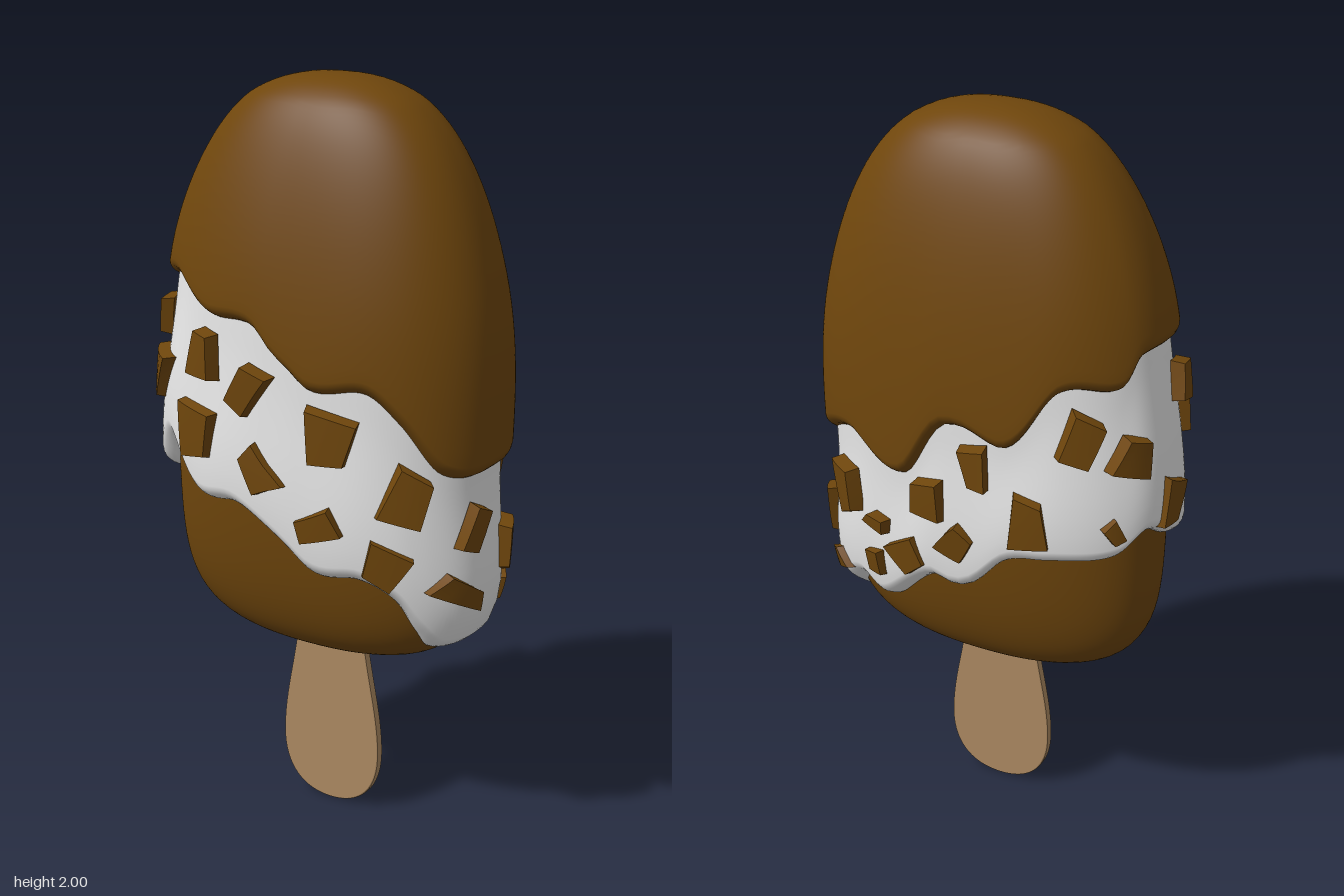
import * as THREE from 'three';

const COLS = 160;
const RAD = Math.PI / 180;

// Periodic smooth curve through [angle in degrees, height] keys
function wave(keys) {
  const n = keys.length;
  const key = (i) => {
    const turn = Math.floor(i / n);
    const k = keys[i - turn * n];
    return [k[0] + turn * 360, k[1]];
  };
  const slope = (i) => (key(i + 1)[1] - key(i - 1)[1]) / (key(i + 1)[0] - key(i - 1)[0]);
  return (theta) => {
    const d = (((theta / RAD) % 360) + 360) % 360;
    let i = n - 1;
    while (i > 0 && keys[i][0] > d) i--;
    const [x0, y0] = key(i), [x1, y1] = key(i + 1);
    const w = x1 - x0, t = (d - x0) / w, s = 1 - t;
    return y0 * (1 + 2 * t) * s * s + y1 * t * t * (3 - 2 * t)
      + w * (slope(i) * t * s * s - slope(i + 1) * t * t * s);
  };
}

// Lower edges of the top coating and of the white band (0 = left side, 90 = front)
const topEdge = wave([[0, 1.05], [32, 1.06], [51, 1.19], [64, 1.26], [82, 1.25], [90, 1.31], [98, 1.39],
  [116, 1.4], [138, 1.475], [165, 1.45], [200, 1.45], [212, 1.38], [238, 1.37], [256, 1.21],
  [272, 1.24], [286, 1.07], [309, 1.14], [345, 1.06]]);
const bandEdge = wave([[0, 0.57], [28, 0.565], [42, 0.63], [52, 0.71], [66, 0.76], [82, 0.76], [93, 0.86],
  [103, 0.91], [119, 0.91], [138, 1.04], [157, 0.93], [175, 0.92], [200, 0.98], [217, 0.92], [245, 0.9],
  [258, 0.88], [270, 0.77], [278, 0.78], [298, 0.655], [309, 0.69], [327, 0.63], [345, 0.575]]);

// Point on the bar at an angle and height, pushed outwards by off
function barPoint(theta, y, off) {
  let a, b;
  if (y > 1.1) {
    const u = Math.min(1, (y - 1.1) / 0.9);
    a = 0.45 * (1 - u ** 2.4) ** 0.42;
    b = 0.238 * (1 - u ** 2.6) ** 0.4;
  } else {
    const u = Math.min(1, (1.1 - y) / 0.62);
    a = 0.45 * (1 - u ** 6) ** 0.33;
    b = 0.238 * (1 - u ** 1.9) ** 0.27;
  }
  const o = off * Math.min(1, a * 5);
  const c = Math.cos(theta), s = Math.sin(theta);
  const shift = 0.015 * THREE.MathUtils.smoothstep(y, 1, 1.5);
  return new THREE.Vector3(
    shift + (a + o) * Math.sign(c) * Math.abs(c) ** 0.85, y,
    (b + o) * Math.sign(s) * Math.abs(s) ** 0.85);
}

// Closed rings stacked upwards; each row maps an angle to [height, offset]
function ringSurface(rows) {
  const pos = [], idx = [];
  rows.forEach((row, i) => {
    for (let j = 0; j < COLS; j++) {
      const th = (j / COLS) * Math.PI * 2;
      const [y, off] = row(th);
      pos.push(...barPoint(th, y, off).toArray());
      if (i === rows.length - 1) continue;
      const a = i * COLS + j, b = i * COLS + ((j + 1) % COLS);
      idx.push(b, a, a + COLS, b, a + COLS, b + COLS);
    }
  });
  const g = new THREE.BufferGeometry();
  g.setAttribute('position', new THREE.Float32BufferAttribute(pos, 3));
  g.setIndex(idx);
  g.computeVertexNormals();
  return g;
}

// Coating with a rounded lip along its lower edge
function coating(lo, hi, offLow, offHigh, lip, steps) {
  const rows = [];
  for (let i = 0; i <= 6; i++) {
    const t = (i / 6) * Math.PI / 2;
    rows.push((th) => [lo(th) + lip * (1 - Math.cos(t)), -0.01 + (offLow + 0.01) * Math.sin(t)]);
  }
  for (let i = 1; i <= steps; i++) {
    const v = Math.sin((i / steps) * Math.PI / 2);
    rows.push((th) => {
      const start = lo(th) + lip;
      const fade = THREE.MathUtils.smoothstep(v, 0, 0.8);
      return [start + (hi(th) - start) * v, offLow + (offHigh - offLow) * fade];
    });
  }
  return ringSurface(rows);
}

// Irregular tapered chip, bent to follow the band
function chipGeometry(deg, y, w, h, tilt, seed) {
  const th = deg * RAD, off = 0.04;
  const speed = barPoint(th - 0.08, y, off).distanceTo(barPoint(th + 0.08, y, off)) / 0.16;
  const g = new THREE.BoxGeometry(w, h, 0.036, 4, 4, 1);
  const p = g.attributes.position;
  for (let i = 0; i < p.count; i++) {
    const nx = p.getX(i) / w, ny = p.getY(i) / h, z = p.getZ(i);
    const k = z > 0 ? 0.94 : 1.04;
    const u = w * k * nx * (1 + 0.45 * Math.sin(seed * 2.3) * ny);
    const v = h * k * ny * (1 + 0.3 * Math.sin(seed * 1.7) * nx);
    const right = u * Math.cos(tilt) - v * Math.sin(tilt);
    const up = u * Math.sin(tilt) + v * Math.cos(tilt);
    const q = barPoint(th - right / speed, y + up, off + z + 0.01 * Math.sin(seed) * nx);
    p.setXYZ(i, q.x, q.y, q.z);
  }
  g.computeVertexNormals();
  return g;
}

// angle, height, width, length, tilt
const chips = [
  [151, 1.21, 0.11, 0.11, -0.2], [116, 1.3, 0.08, 0.12, -0.05], [118, 1.09, 0.11, 0.14, 0],
  [98, 1.235, 0.07, 0.12, -0.5], [94, 1.03, 0.07, 0.12, 0.6], [75, 1.14, 0.12, 0.13, -0.1],
  [48, 1.005, 0.1, 0.14, -0.35], [79, 0.905, 0.12, 0.07, 0.4], [57, 0.82, 0.1, 0.11, -0.45],
  [23, 0.745, 0.14, 0.06, -0.5], [16, 0.915, 0.06, 0.12, -0.4], [-14, 0.82, 0.06, 0.13, -0.1],
  [-31, 0.7, 0.1, 0.06, 0.45], [-47, 0.965, 0.08, 0.14, 0.2], [-62, 0.78, 0.05, 0.07, 0.1],
  [-64, 0.91, 0.06, 0.035, -0.3], [-76, 0.84, 0.08, 0.09, 0.6], [-90, 0.92, 0.07, 0.09, -0.6],
  [-83, 1.03, 0.08, 0.1, 0], [-95, 1.15, 0.065, 0.11, 0.1], [-110, 1.02, 0.09, 0.14, 0],
  [-129, 1.26, 0.08, 0.13, -0.4], [-141, 1.01, 0.04, 0.06, 0.5], [-151, 1.21, 0.09, 0.1, -0.3],
  [186, 1.05, 0.08, 0.12, -0.3], [170, 1.34, 0.06, 0.1, -0.2],
];

export function createModel() {
  const chocolate = new THREE.MeshStandardMaterial({ color: 0x6f460c });
  const cream = new THREE.MeshStandardMaterial({ color: 0xf2f2f2 });
  const wood = new THREE.MeshStandardMaterial({ color: 0xad8a62 });
  const model = new THREE.Group();
  const add = (name, geometry, material, parent = model) => {
    const mesh = new THREE.Mesh(geometry, material);
    mesh.name = name;
    parent.add(mesh);
    return mesh;
  };

  // Lower chocolate body
  const body = [];
  for (let i = 0; i <= 28; i++) {
    const y = 0.48 + 0.66 * (i / 28) ** 2.2;
    body.push(() => [y, 0]);
  }
  add('lowerBody', ringSurface(body), chocolate);

  // White band and the top coating flowing over it
  add('creamBand', coating(bandEdge, (th) => topEdge(th) + 0.06, 0.043, 0.018, 0.045, 16), cream);
  add('topCoating', coating(topEdge, () => 2, 0.046, 0.03, 0.04, 36), chocolate);

  // Chips pressed into the band
  const chipGroup = new THREE.Group();
  chipGroup.name = 'chips';
  model.add(chipGroup);
  chips.forEach((c, i) => add('chip', chipGeometry(...c, i + 1), chocolate, chipGroup));

  // Flat wooden stick, wider at the rounded end
  const s = new THREE.Shape();
  s.moveTo(0.09, 0.6);
  s.bezierCurveTo(0.1, 0.42, 0.147, 0.3, 0.147, 0.17);
  s.bezierCurveTo(0.147, 0.06, 0.09, 0.004, 0, 0.004);
  s.bezierCurveTo(-0.09, 0.004, -0.147, 0.06, -0.147, 0.17);
  s.bezierCurveTo(-0.147, 0.3, -0.1, 0.42, -0.09, 0.6);
  const stick = add('stick', new THREE.ExtrudeGeometry(s, {
    depth: 0.016, bevelEnabled: true, bevelSize: 0.004, bevelThickness: 0.005, bevelSegments: 2, curveSegments: 20,
  }), wood);
  stick.position.set(0.014, 0, 0.009);
  return model;
}
